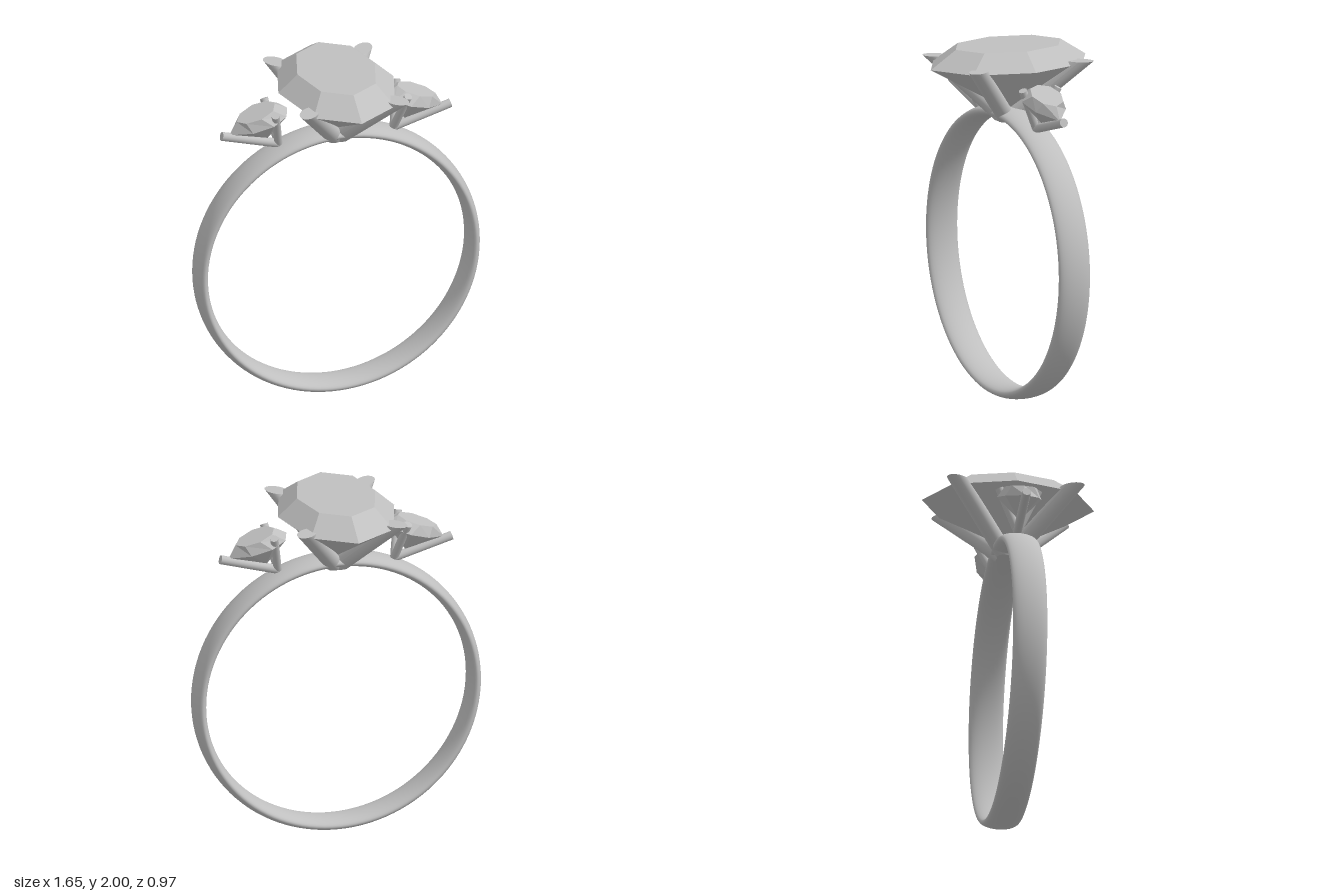
import * as THREE from 'three';

const silver = new THREE.MeshStandardMaterial({ color: 0xbfbfbf });
silver.name = 'silverGrey';
const V = (x, y, z) => new THREE.Vector3(x, y, z);

function part(name, geometry) {
  const mesh = new THREE.Mesh(geometry, silver);
  mesh.name = name;
  return mesh;
}

// Faceted stone: flat table, sloped crown, pavilion meeting at a culet
function gemGeometry(girdle, table, crownHeight, culet) {
  const n = girdle.length;
  const g = girdle.map(([x, z]) => V(x, 0, z));
  const t = table.map(([x, z]) => V(x, crownHeight, z));
  const top = V(0, crownHeight, 0);
  const points = [];
  for (let i = 0; i < n; i++) {
    const j = (i + 1) % n;
    points.push(top, t[j], t[i]);
    points.push(g[i], t[i], t[j], g[i], t[j], g[j]);
    points.push(culet, g[i], g[j]);
  }
  const geometry = new THREE.BufferGeometry().setFromPoints(points);
  geometry.computeVertexNormals();
  return geometry;
}

const octagon = (rx, rz) => Array.from({ length: 8 }, (_, i) => {
  const a = i * Math.PI / 4;
  return [rx * Math.cos(a), rz * Math.sin(a)];
});

// Completes a half outline by mirroring it across z
const mirrorZ = (half) => [...half, ...half.slice(1, -1).reverse().map(([x, z]) => [x, -z])];

// Round rod between two points
function rod(name, a, b, radius) {
  const dir = b.clone().sub(a);
  const mesh = part(name, new THREE.CylinderGeometry(radius, radius, dir.length(), 20));
  mesh.position.copy(a).add(b).multiplyScalar(0.5);
  mesh.quaternion.setFromUnitVectors(V(0, 1, 0), dir.normalize());
  return mesh;
}

// Leaning round rod whose two ends are cut level
function levelRod(name, a, b, radius) {
  const d = b.clone().sub(a);
  const geometry = new THREE.CylinderGeometry(radius, radius, d.y, 28);
  geometry.scale(d.length() / d.y, 1, 1);
  geometry.rotateY(-Math.atan2(d.z, d.x));
  geometry.applyMatrix4(new THREE.Matrix4().set(
    1, d.x / d.y, 0, 0,
    0, 1, 0, 0,
    0, d.z / d.y, 1, 0,
    0, 0, 0, 1));
  geometry.computeVertexNormals();
  const mesh = part(name, geometry);
  mesh.position.copy(a).add(b).multiplyScalar(0.5);
  return mesh;
}

// Small pear-shaped stone, tilted outward, with its three prongs
function sideSetting(name) {
  const group = new THREE.Group();
  group.name = name;
  const girdle = mirrorZ([[0.19, 0], [0.075, 0.095], [-0.045, 0.125], [-0.135, 0.085], [-0.165, 0]]);
  const table = mirrorZ([[0.125, 0], [0.085, 0.063], [0, 0.09], [-0.08, 0.063], [-0.11, 0]]);
  const stone = part('sideStone', gemGeometry(girdle, table, 0.058, V(0, -0.125, 0)));
  stone.position.set(0.44, 1.745, 0);
  stone.rotation.z = -0.35;
  group.add(stone);
  const base = V(0.335, 1.585, 0);
  group.add(rod('outerProng', base, V(0.665, 1.68, 0), 0.025));
  for (const s of [-1, 1]) group.add(rod('sideProng', base, V(0.385, 1.82, s * 0.11), 0.023));
  return group;
}

export function createModel() {
  const model = new THREE.Group();
  model.name = 'ring';

  // Band with a wide oval cross-section
  const bandGeometry = new THREE.TorusGeometry(0.79, 0.035, 28, 112);
  bandGeometry.scale(1, 1, 2.75);
  const band = part('band', bandGeometry);
  band.position.y = 0.825;
  model.add(band);

  // Large oval centre stone
  const centre = part('centreStone',
    gemGeometry(octagon(0.335, 0.485), octagon(0.225, 0.328), 0.1, V(0, -0.27, 0)));
  centre.position.y = 1.9;
  model.add(centre);

  // Four leaning prongs meeting at the band
  for (const sx of [-1, 1]) for (const sz of [-1, 1]) {
    model.add(levelRod('centreProng', V(0, 1.57, 0), V(sx * 0.255, 1.923, sz * 0.32), 0.049));
  }

  // Side stones
  const left = sideSetting('leftSetting');
  const right = sideSetting('rightSetting');
  right.rotation.y = Math.PI;
  model.add(left, right);
  return model;
}
